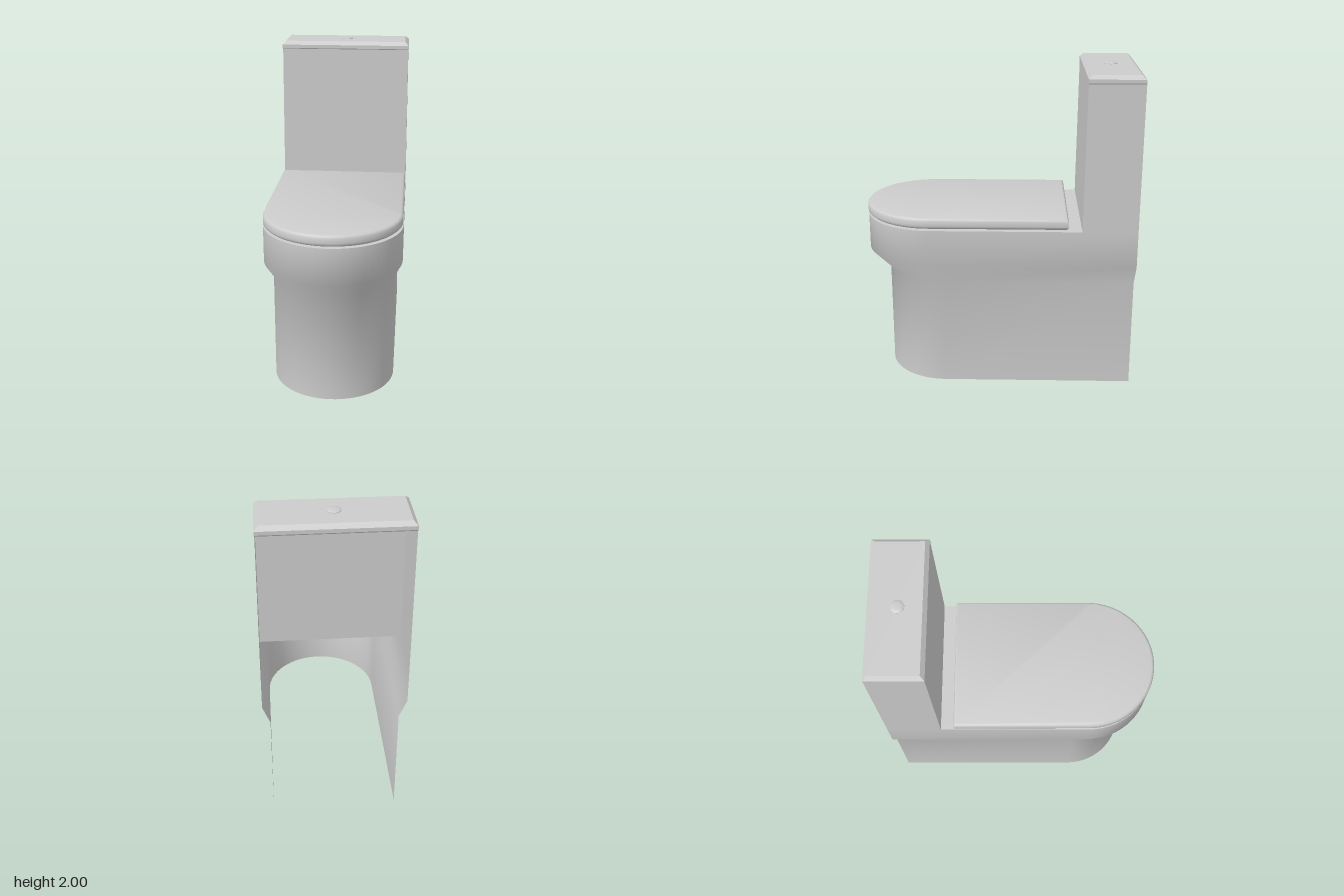
import * as THREE from 'three';
import { mergeGeometries, toCreasedNormals } from 'three/addons/utils/BufferGeometryUtils.js';

const material = new THREE.MeshStandardMaterial({ color: 0xcccccc, side: THREE.DoubleSide });

// Outline from back left, round the curved front, to back right; points are (x, z)
function roundedFront(halfWidth, front, back, steps = 32) {
  const points = [new THREE.Vector2(halfWidth, back)];
  for (let i = 0; i <= steps; i++) {
    const a = (i / steps) * Math.PI;
    points.push(new THREE.Vector2(halfWidth * Math.cos(a), front - halfWidth + halfWidth * Math.sin(a)));
  }
  points.push(new THREE.Vector2(-halfWidth, back));
  return points;
}

function squareFront(halfWidth, front, back) {
  return [[1, back], [1, front], [-1, front], [-1, back]]
    .map(([s, z]) => new THREE.Vector2(s * halfWidth, z));
}

// Wall through a stack of outlines, each row being { y, points }
function wall(rows, closed) {
  const n = rows[0].points.length;
  const position = rows.flatMap(({ y, points }) => points.flatMap((p) => [p.x, y, p.y]));
  const index = [];
  for (let r = 0; r < rows.length - 1; r++) {
    for (let i = 0; i < (closed ? n : n - 1); i++) {
      const a = r * n + i, b = r * n + ((i + 1) % n);
      index.push(a, a + n, b, b, a + n, b + n);
    }
  }
  const geometry = new THREE.BufferGeometry();
  geometry.setAttribute('position', new THREE.Float32BufferAttribute(position, 3));
  geometry.setIndex(index);
  geometry.computeVertexNormals();
  return geometry;
}

// Flat face filling an outline, facing up or down
function cap({ y, points }, up) {
  const s = up ? -1 : 1;
  const shape = new THREE.Shape(points.map((p) => new THREE.Vector2(p.x, s * p.y)));
  const geometry = new THREE.ShapeGeometry(shape);
  geometry.deleteAttribute('uv');
  return geometry.rotateX((s * Math.PI) / 2).translate(0, y, 0);
}

// Closed slab with edges eased by an inset at each height
function slab(outline, halfWidth, front, back, profile) {
  const rows = profile.map(([y, inset]) => ({
    y, points: outline(halfWidth - inset, front - inset, back + inset),
  }));
  return mergeGeometries([wall(rows, true), cap(rows[0], false), cap(rows[rows.length - 1], true)]);
}

function addPart(group, name, geometry, crease = 0.9) {
  const mesh = new THREE.Mesh(toCreasedNormals(geometry, crease), material);
  mesh.name = name;
  group.add(mesh);
  return mesh;
}

export function createModel() {
  const model = new THREE.Group();
  model.name = 'toilet';

  // Pedestal and bowl: a shell open at the back and underneath
  const bodyRows = [
    [0, 0.38, 0.72, -0.84],
    [0.69, 0.38, 0.72, -0.84],
    [0.81, 0.425, 0.847, -0.847],
    [1.04, 0.425, 0.847, -0.847],
  ].map(([y, w, front, back]) => ({ y, points: roundedFront(w, front, back) }));
  addPart(model, 'bowlBody', wall(bodyRows, false), 1.0);

  // Flat deck under the seat lid, ending at the tank front
  addPart(model, 'deck', cap({ y: 1.04, points: roundedFront(0.425, 0.847, -0.51) }, true));

  // Tank: front and two sides, open at the back
  addPart(model, 'tank', wall([
    { y: 1.04, points: squareFront(0.425, -0.51, -0.847) },
    { y: 1.94, points: squareFront(0.422, -0.518, -0.85) },
  ], false));

  addPart(model, 'tankLid', slab(squareFront, 0.425, -0.517, -0.85,
    [[1.938, 0.004], [1.945, 0], [1.967, 0], [1.99, 0.024]]), 0.5);

  addPart(model, 'seatLid', slab(roundedFront, 0.423, 0.85, -0.427,
    [[1.05, 0.012], [1.06, 0.001], [1.07, 0], [1.1, 0], [1.11, 0.006], [1.116, 0.016]]), 0.9);

  // Flush button with a shallow domed top
  const buttonProfile = [[0.04, 1.985], [0.04, 1.993], [0.034, 1.997], [0.02, 1.999], [0, 2]]
    .map(([r, y]) => new THREE.Vector2(r, y));
  const button = addPart(model, 'flushButton', new THREE.LatheGeometry(buttonProfile, 24), 0.9);
  button.position.z = -0.68;

  return model;
}
